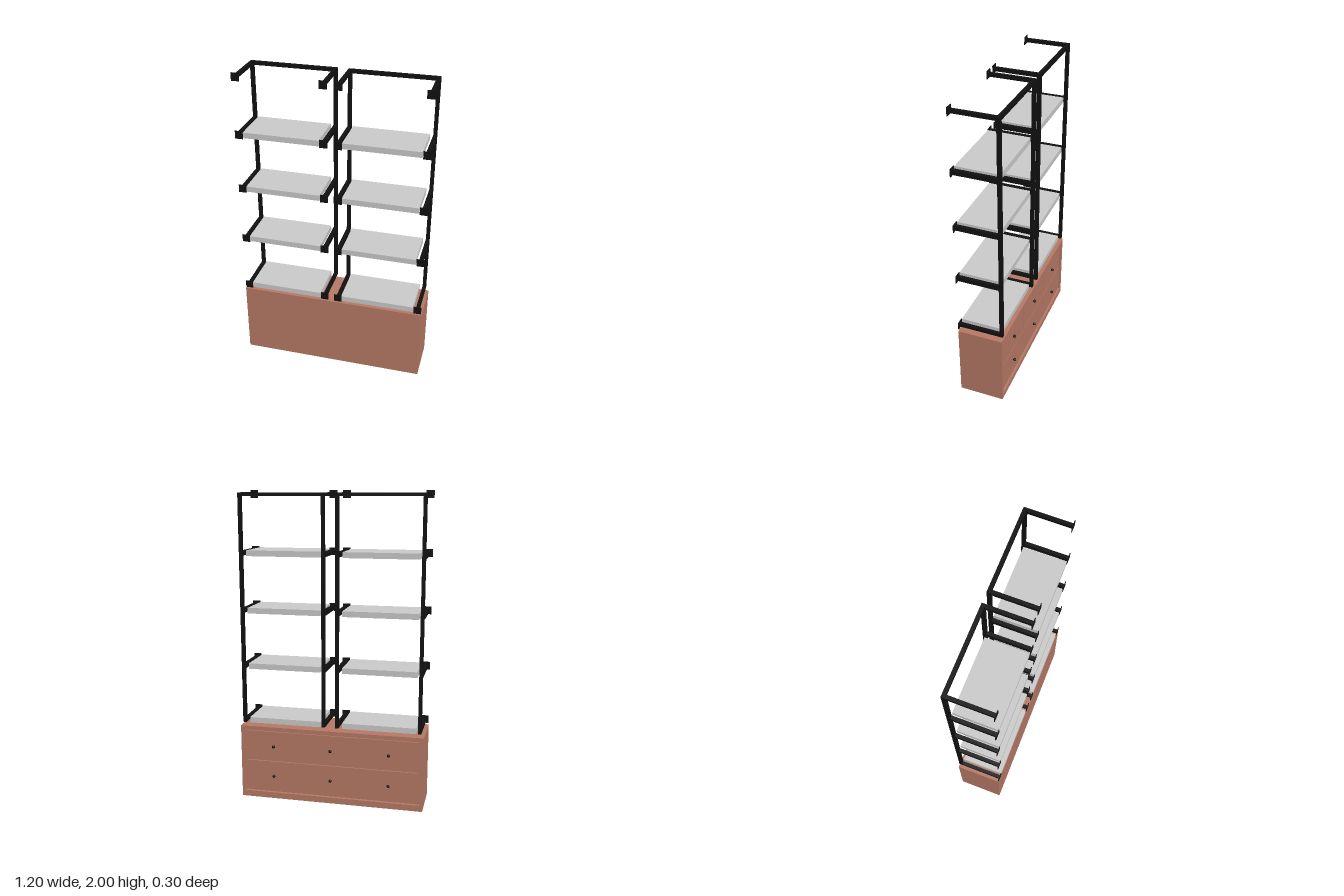
import * as THREE from 'three';

const mat = (name, color) => {
  const m = new THREE.MeshStandardMaterial({ color });
  m.name = name;
  return m;
};

export function createModel() {
  const brown = mat('terracotta cabinet', 0xb87a66);
  const black = mat('black metal', 0x111111);
  const grey = mat('pale grey shelf', 0xcccccc);

  const model = new THREE.Group();
  model.name = 'shelvingCabinet';

  // Box given by its min and max on each axis
  function box(parent, name, material, [x0, x1], [y0, y1], [z0, z1]) {
    const mesh = new THREE.Mesh(new THREE.BoxGeometry(x1 - x0, y1 - y0, z1 - z0), material);
    mesh.position.set((x0 + x1) / 2, (y0 + y1) / 2, (z0 + z1) / 2);
    mesh.name = name;
    parent.add(mesh);
  }

  const FRONT = 0.15, BACK = -0.142, TOP = 0.49, RECESS = -0.122;

  // Cabinet body with a raised frame around the drawer side
  const cabinet = new THREE.Group();
  cabinet.name = 'cabinet';
  model.add(cabinet);
  box(cabinet, 'cabinetBody', brown, [-0.6, 0.6], [0, TOP], [RECESS, FRONT]);
  const rim = [BACK, RECESS];
  box(cabinet, 'topRail', brown, [-0.6, 0.6], [TOP - 0.02, TOP], rim);
  box(cabinet, 'bottomRail', brown, [-0.6, 0.6], [0, 0.04], rim);
  for (const s of [-1, 1]) {
    box(cabinet, 'sideStile', brown, [s * 0.59 - 0.01, s * 0.59 + 0.01], [0.04, TOP - 0.02], rim);
  }

  // Six drawers with round knobs
  const knobGeo = new THREE.SphereGeometry(0.01, 16, 10);
  const stemGeo = new THREE.CylinderGeometry(0.005, 0.005, 0.012, 12).rotateX(Math.PI / 2);
  for (const x of [-0.38, 0, 0.38]) {
    for (const y of [0.153, 0.357]) {
      box(cabinet, 'drawerFront', brown, [x - 0.187, x + 0.187], [y - 0.099, y + 0.099], [-0.132, RECESS]);
      const knob = new THREE.Mesh(knobGeo, black);
      knob.name = 'drawerKnob';
      knob.position.set(x, y, -0.141);
      const stem = new THREE.Mesh(stemGeo, black);
      stem.name = 'knobStem';
      stem.position.set(x, y, -0.135);
      cabinet.add(knob, stem);
    }
  }

  // Two metal racks: posts, top rail, arms with end plates, and shelves
  const levels = [0.526, 0.888, 1.25, 1.613, 1.975];
  const half = 0.011;
  for (const s of [-1, 1]) {
    const rack = new THREE.Group();
    rack.name = s < 0 ? 'rightRack' : 'leftRack';
    model.add(rack);
    const centre = s * 0.308;

    for (const x of [centre - 0.264, centre + 0.264]) {
      const span = [x - half, x + half];
      box(rack, 'post', black, span, [0.515, 1.986], [BACK, -0.12]);
      levels.forEach((y, i) => {
        const h = i === 0 || i === 4 ? 0.011 : 0.015;
        box(rack, 'arm', black, span, [y - h, y + h], [-0.12, 0.147]);
        box(rack, 'endPlate', black, [x - 0.025, x + 0.025], [y - 0.025, y + 0.025], [0.147, 0.151]);
      });
    }
    box(rack, 'topRail', black, [centre - 0.253, centre + 0.253], [1.964, 1.986], [BACK, -0.12]);

    const mid = centre - 0.003;
    for (const y of levels.slice(0, 4)) {
      box(rack, 'shelf', grey, [mid - 0.237, mid + 0.237], [y - 0.018, y + 0.018], [-0.122, 0.149]);
    }
  }

  return model;
}
